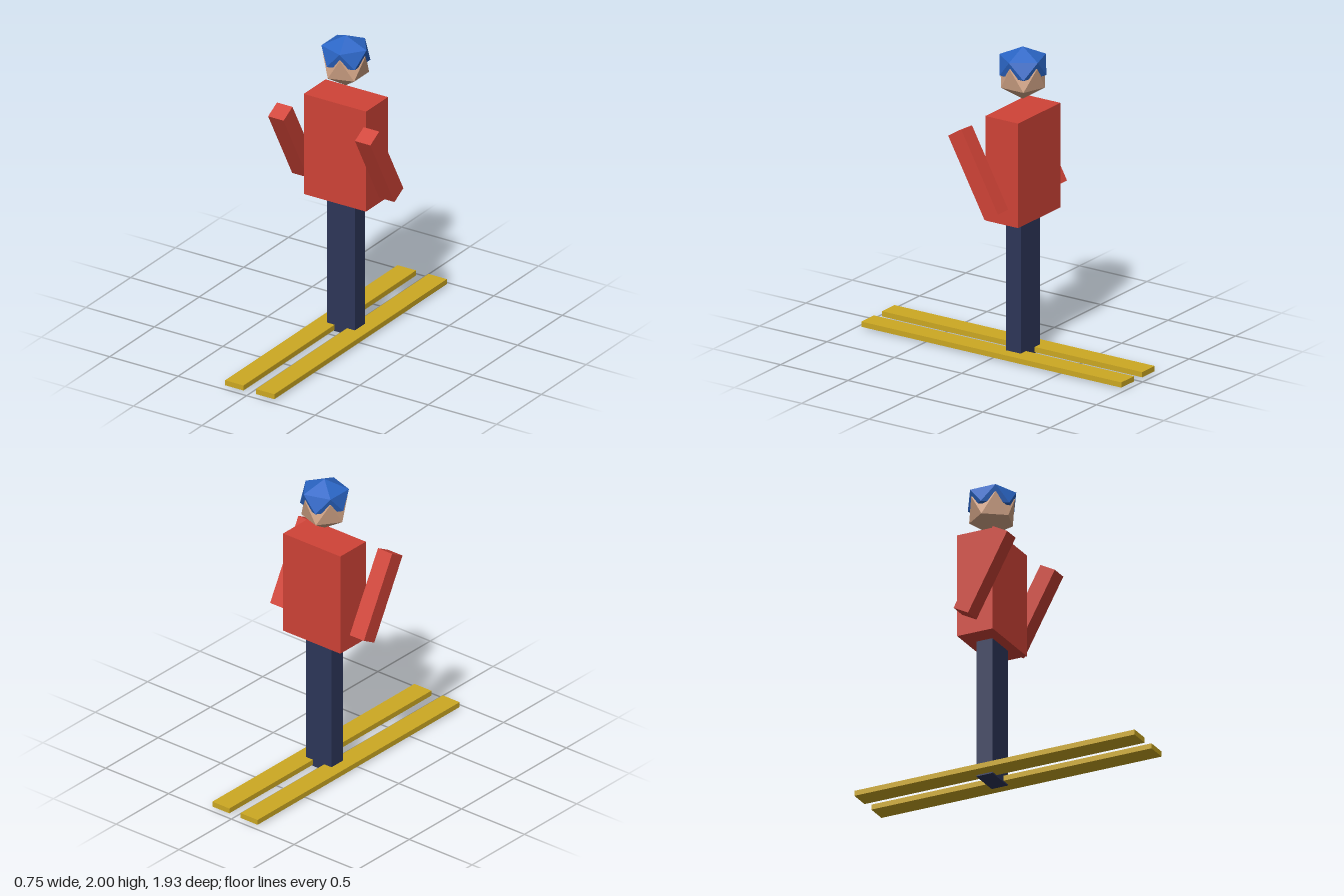
import * as THREE from 'three';
import { ConvexGeometry } from 'three/addons/geometries/ConvexGeometry.js';

const mat = (name, color) => {
  const m = new THREE.MeshStandardMaterial({ color });
  m.name = name;
  return m;
};

// Icosahedron standing on a vertex: two poles and two staggered five-point rings
function uprightIcosahedron(radius, height) {
  const pts = [new THREE.Vector3(0, height, 0), new THREE.Vector3(0, -height, 0)];
  const ring = radius * 2 / Math.sqrt(5), level = height / Math.sqrt(5);
  for (let i = 0; i < 5; i++) {
    const a = i * Math.PI * 2 / 5;
    pts.push(new THREE.Vector3(ring * Math.cos(a), level, ring * Math.sin(a)));
    pts.push(new THREE.Vector3(-ring * Math.cos(a), -level, ring * Math.sin(a)));
  }
  return new ConvexGeometry(pts);
}

export function createModel() {
  const group = new THREE.Group();
  group.name = 'skier';
  const jacket = mat('jacketRed', 0xd04337);
  const trousers = mat('trouserNavy', 0x2d3659);
  const wood = mat('skiYellow', 0xcda923);
  const skin = mat('skin', 0xd4a688);
  const hat = mat('hatBlue', 0x2b66c6);
  const bodyZ = -0.11;

  const add = (name, geometry, material, x, y, z) => {
    const mesh = new THREE.Mesh(geometry, material);
    mesh.name = name;
    mesh.position.set(x, y, z);
    group.add(mesh);
    return mesh;
  };

  // Body
  add('legs', new THREE.BoxGeometry(0.205, 0.91, 0.111), trousers, 0, 0.455, bodyZ);
  add('torso', new THREE.BoxGeometry(0.455, 0.68, 0.244), jacket, 0, 1.25, bodyZ);

  // Head, with a flattened hat pulled over it
  add('head', uprightIcosahedron(0.159, 0.159), skin, 0, 1.819, bodyZ);
  add('hat', uprightIcosahedron(0.168, 0.118), hat, 0, 1.882, bodyZ);

  // Arms raised forward, and skis
  for (const [side, s] of [['left', 1], ['right', -1]]) {
    const arm = add(side + 'Arm', new THREE.BoxGeometry(0.113, 0.563, 0.113), jacket, s * 0.317, 1.25, 0.003);
    arm.rotation.x = 0.5;
    add(side + 'Ski', new THREE.BoxGeometry(0.135, 0.034, 1.93), wood, s * 0.1125, 0.026, 0);
  }
  return group;
}
